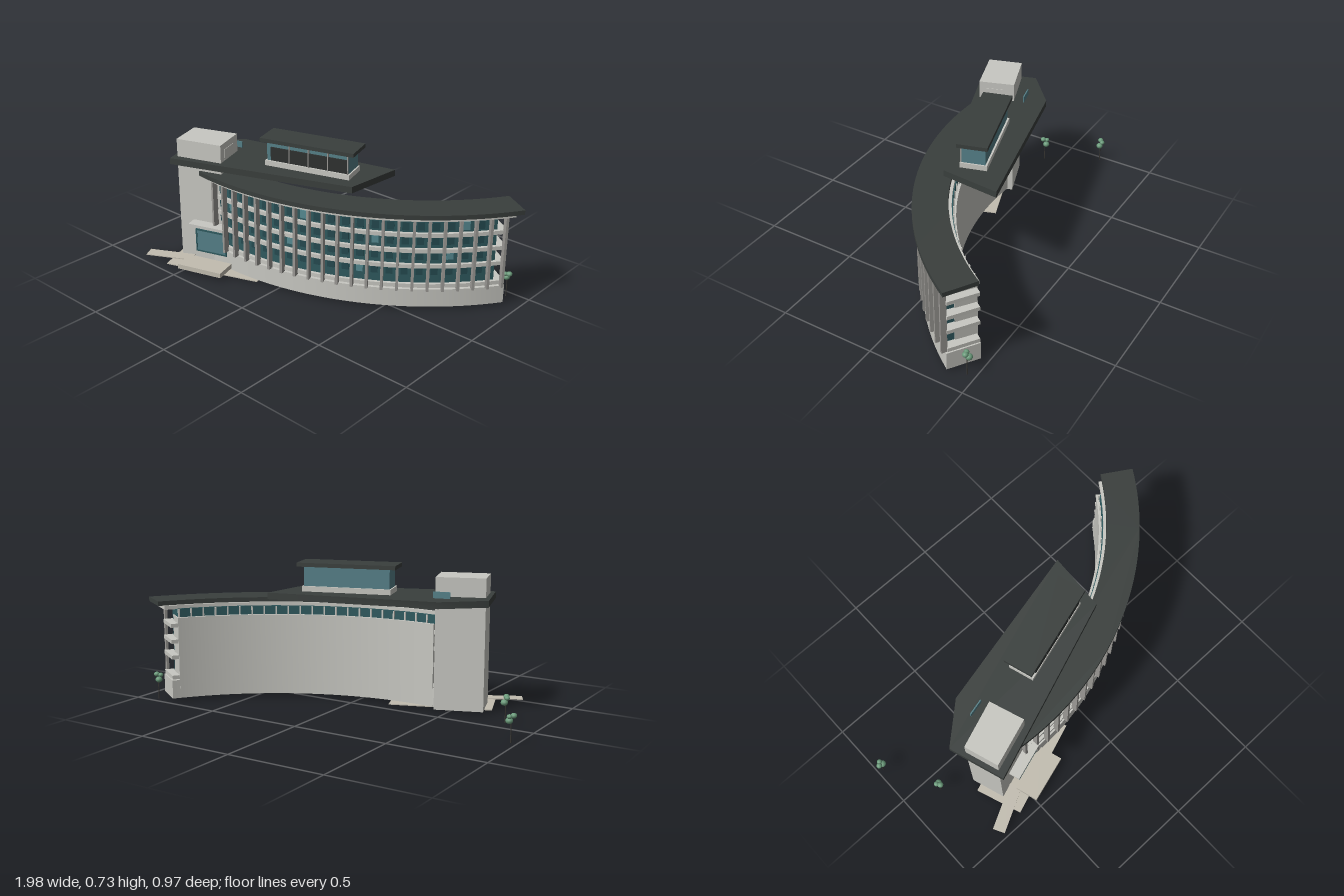
import * as THREE from 'three';
import { toCreasedNormals } from 'three/addons/utils/BufferGeometryUtils.js';

const mat = (color) => new THREE.MeshStandardMaterial({ color });
const M = {
  concrete: mat(0xc8c8c2), roof: mat(0x3a3f3d), glass: mat(0x2f5a5f), pane: mat(0x254a50),
  paneLight: mat(0x568a92), column: mat(0x9c9a96), atticGlass: mat(0x558088), dark: mat(0x2e3130),
  paving: mat(0xc2bdb0), leaf: mat(0x6a9a7a), trunk: mat(0x3c3a36),
};
// centre of the curved wing in plan; angles run from +z towards +x
const CX = -0.3, CZ = -1.2, DEG = Math.PI / 180;

export function createModel() {
  const root = new THREE.Group();
  const add = (name, geo, material, parent = root) => {
    const m = new THREE.Mesh(geo, material);
    m.name = name;
    parent.add(m);
    return m;
  };
  const group = (name) => {
    const g = new THREE.Group();
    g.name = name;
    root.add(g);
    return g;
  };
  // plan outline raised from y0 to y1
  const raise = (shape, y0, y1) => {
    const g = new THREE.ExtrudeGeometry(shape, { depth: y1 - y0, bevelEnabled: false, curveSegments: 40 });
    g.rotateX(-Math.PI / 2).translate(0, y0, 0);
    return toCreasedNormals(g, 0.5);
  };
  const prism = (pts, y0, y1) => raise(new THREE.Shape(pts.map(([x, z]) => new THREE.Vector2(x, -z))), y0, y1);
  const sector = (r0, r1, a0, a1, y0, y1) => {
    const s = new THREE.Shape();
    const p0 = (a0 - 90) * DEG, p1 = (a1 - 90) * DEG;
    s.absarc(CX, -CZ, r1, p0, p1, false);
    s.absarc(CX, -CZ, r0, p1, p0, true);
    s.closePath();
    return raise(s, y0, y1);
  };
  const box = (name, w, y0, y1, d, x, z, turn, material, parent) => {
    const m = add(name, new THREE.BoxGeometry(w, y1 - y0, d), material, parent);
    m.position.set(x, (y0 + y1) / 2, z);
    m.rotation.y = turn;
    return m;
  };
  // box standing on the curve at radius r and angle a
  const onArc = (name, w, y0, y1, d, r, a, material, parent) =>
    box(name, w, y0, y1, d, CX + r * Math.sin(a * DEG), CZ + r * Math.cos(a * DEG), a * DEG, material, parent);

  // curved wing
  const wing = group('curvedWing');
  add('base', sector(1.312, 1.48, -6, 56, 0.015, 0.11), M.concrete, wing);
  add('backWall', sector(1.31, 1.42, -5, 54.3, 0.016, 0.435), M.concrete, wing);
  add('glazing', sector(1.325, 1.455, -6.5, 54.1, 0.108, 0.48), M.glass, wing);
  [0.115, 0.22, 0.302, 0.385].forEach((y) =>
    add('floorSlab', sector(1.314, 1.472, -6, 55.9, y, y + 0.02), M.concrete, wing));
  add('roofBeam', sector(1.33, 1.492, -7, 57, 0.477, 0.497), M.concrete, wing);
  add('wingRoof', sector(1.345, 1.515, -7.2, 58.2, 0.497, 0.52), M.roof, wing);

  // columns along the front, with one window per bay and floor
  const COUNT = 22, STEP = 59.3 / (COUNT - 1);
  for (let i = 0; i < COUNT; i++) {
    const a = -4 + i * STEP;
    onArc('column', 0.013, 0.108, 0.48, 0.03, 1.484, a, M.column, wing);
    if (i > COUNT - 3) continue;
    [0.18, 0.262, 0.342, 0.417].forEach((y, f) => {
      const light = (i * 5 + f * 3) % 11 === 0;
      onArc('window', 0.034, y, y + 0.042, 0.012, 1.456, a + STEP * 0.45, light ? M.paneLight : M.pane, wing);
    });
  }
  // short fins under the back eave
  for (let i = 0; i < COUNT; i++) onArc('eaveFin', 0.008, 0.435, 0.478, 0.014, 1.325, -3 + i * STEP * 0.96, M.concrete, wing);

  // tower at the left end and the large roof around it
  add('tower', prism([[-0.665, 0.165], [-0.61, 0.335], [-0.375, 0.255], [-0.435, 0.08]], 0.01, 0.675), M.concrete);
  box('towerHatch', 0.006, 0.585, 0.64, 0.1, -0.404, 0.172, 0.33, M.concrete);
  add('mainRoof', prism([[-0.71, 0.1], [-0.62, 0.378], [0.3, 0.04], [0.323, -0.265], [-0.525, -0.065]], 0.547, 0.58), M.roof);
  box('roofLight', 0.085, 0.58, 0.612, 0.006, -0.49, 0.04, 0.24, M.atticGlass);

  // attic room on the roof
  const attic = group('attic');
  attic.position.set(0.002, 0, -0.01);
  attic.rotation.y = 0.292;
  box('atticBase', 0.455, 0.579, 0.607, 0.135, 0, 0, 0, M.concrete, attic);
  box('atticGlazing', 0.44, 0.6, 0.705, 0.116, 0, 0, 0, M.atticGlass, attic);
  box('atticRoof', 0.503, 0.705, 0.725, 0.152, 0, 0, 0, M.roof, attic);
  for (let i = 0; i < 4; i++) {
    const x = -0.147 + i * 0.104;
    box('louvre', 0.1, 0.61, 0.68, 0.008, x, 0.061, 0, M.dark, attic);
    box('mullion', 0.005, 0.607, 0.705, 0.012, x + 0.052, 0.06, 0, M.column, attic);
  }

  // entrance
  const entrance = group('entrance');
  box('entranceGlass', 0.165, 0.087, 0.203, 0.05, -0.42, 0.286, 0.31, M.atticGlass, entrance);
  [-1, 1].forEach((s) => {
    box('entranceFrame', 0.178, s < 0 ? 0.08 : 0.2, s < 0 ? 0.088 : 0.208, 0.054, -0.42, 0.286, 0.31, M.glass, entrance);
    box('entrancePost', 0.008, 0.08, 0.208, 0.054, -0.42 + s * 0.081, 0.286 - s * 0.026, 0.31, M.glass, entrance);
  });
  box('canopy', 0.2, 0.222, 0.238, 0.07, -0.435, 0.301, 0.31, M.concrete, entrance);
  box('platform', 0.25, 0.025, 0.05, 0.12, -0.398, 0.375, 0.292, M.paving, entrance);
  box('ramp', 0.25, 0.028, 0.032, 0.064, -0.637, 0.397, 0.48, M.paving, entrance);
  box('groundPad', 0.52, 0.009, 0.014, 0.25, -0.4, 0.25, 0.345, M.paving, entrance);

  // trees
  [[-0.97, -0.195], [-0.818, 0.085], [0.892, -0.458]].forEach(([x, z], k) => {
    const tree = group('tree');
    tree.position.set(x, 0, z);
    tree.rotation.y = k * 1.3;
    const trunk = add('trunk', new THREE.CylinderGeometry(0.002, 0.003, 0.1, 6), M.trunk, tree);
    trunk.position.y = 0.05;
    [[0.01, 0.103, 0, 0.018], [-0.01, 0.128, 0.004, 0.015], [0.004, 0.125, -0.012, 0.013]].forEach(([bx, by, bz, r]) => {
      const b = add('foliage', new THREE.SphereGeometry(r, 10, 8), M.leaf, tree);
      b.position.set(bx, by, bz);
      b.scale.y = 0.85;
    });
  });
  return root;
}
